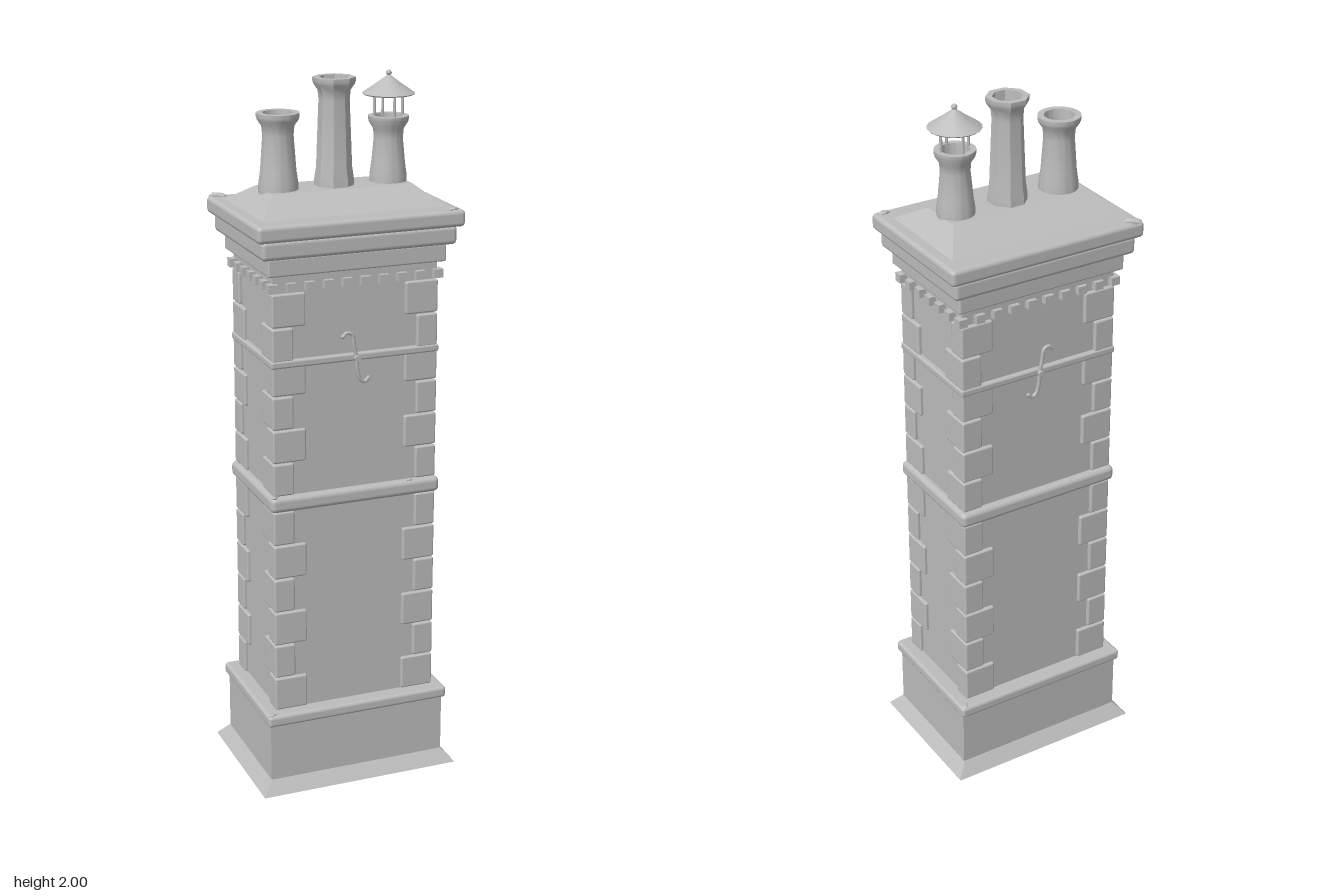
import * as THREE from 'three';
import { toCreasedNormals } from 'three/addons/utils/BufferGeometryUtils.js';
import { RoundedBoxGeometry } from 'three/addons/geometries/RoundedBoxGeometry.js';

export function createModel() {
  const model = new THREE.Group();
  model.name = 'chimneyStack';
  const stone = new THREE.MeshStandardMaterial({ color: 0xbcbcbc });
  stone.name = 'grey stone';

  const add = (name, geometry, x = 0, y = 0, z = 0, parent = model) => {
    const mesh = new THREE.Mesh(geometry, stone);
    mesh.name = name;
    mesh.position.set(x, y, z);
    parent.add(mesh);
    return mesh;
  };
  const group = (name) => {
    const g = new THREE.Group();
    g.name = name;
    model.add(g);
    return g;
  };
  // Centred course of masonry given by half sizes and its height range
  const course = (name, hx, hz, y0, y1, radius = 0) => {
    const size = [hx * 2, y1 - y0, hz * 2];
    const geometry = radius ? new RoundedBoxGeometry(...size, 3, radius) : new THREE.BoxGeometry(...size);
    return add(name, geometry, 0, (y0 + y1) / 2, 0);
  };
  // Course whose top is smaller than its foot
  const taperedCourse = (name, hx, hz, tx, tz, y0, y1) => {
    const geometry = new THREE.BoxGeometry(hx * 2, y1 - y0, hz * 2);
    const p = geometry.attributes.position;
    for (let i = 0; i < p.count; i++) {
      if (p.getY(i) > 0) p.setXYZ(i, Math.sign(p.getX(i)) * tx, p.getY(i), Math.sign(p.getZ(i)) * tz);
    }
    geometry.computeVertexNormals();
    return add(name, geometry, 0, (y0 + y1) / 2, 0);
  };

  // Foot, plinth and shaft
  taperedCourse('footFlare', 0.295, 0.215, 0.263, 0.185, 0, 0.037);
  course('plinth', 0.263, 0.183, 0.03, 0.215);
  course('plinthMoulding', 0.273, 0.197, 0.206, 0.24, 0.01);
  course('shaft', 0.23, 0.152, 0.23, 1.5);
  course('middleBand', 0.25, 0.174, 0.84, 0.884, 0.014);
  course('ironStrap', 0.244, 0.166, 1.249, 1.27, 0.006);

  // Quoins: long and short faces alternate up each corner
  const quoins = group('quoins');
  const stackQuoins = (y0, y1, count, firstWide) => {
    const h = (y1 - y0) / count;
    for (let i = 0; i < count; i++) {
      const wide = (i % 2 === 0) === firstWide;
      const w = wide ? 0.095 : 0.06;
      const d = wide ? 0.056 : 0.092;
      const block = new RoundedBoxGeometry(w, h - 0.004, d, 2, 0.005);
      for (const sx of [-1, 1]) {
        for (const sz of [-1, 1]) {
          add('quoin', block, sx * (0.24 - w / 2), y0 + (i + 0.5) * h, sz * (0.163 - d / 2), quoins);
        }
      }
    }
  };
  stackQuoins(0.24, 0.84, 6, true);
  stackQuoins(0.884, 1.455, 6, false);

  // Dentil row on all four sides
  const dentils = group('dentils');
  const dentil = new THREE.BoxGeometry(0.026, 0.024, 0.026);
  for (const s of [-1, 1]) {
    for (let i = 0; i < 10; i++) add('dentil', dentil, -0.238 + i * 0.0529, 1.47, s * 0.157, dentils);
    for (let i = 1; i < 6; i++) add('dentil', dentil, s * 0.238, 1.47, -0.157 + i * 0.0523, dentils);
  }

  // Stepped cornice and sloped capping
  course('corniceFillet', 0.236, 0.16, 1.483, 1.51);
  course('lowerCornice', 0.255, 0.18, 1.505, 1.554, 0.005);
  course('middleCornice', 0.278, 0.2, 1.554, 1.606, 0.012);
  course('corniceSlab', 0.295, 0.215, 1.604, 1.65, 0.012);
  taperedCourse('slopedCapping', 0.263, 0.161, 0.203, 0.066, 1.647, 1.7);

  // Wall anchors, curled at both ends
  const anchorCurve = new THREE.CatmullRomCurve3([
    [-0.04, 0.062], [-0.028, 0.072], [-0.013, 0.066], [-0.007, 0.035], [0, 0],
    [0.003, -0.035], [0.01, -0.06], [0.024, -0.07], [0.036, -0.06],
  ].map(([x, y]) => new THREE.Vector3(x, y, 0)));
  const anchorGeometry = new THREE.TubeGeometry(anchorCurve, 32, 0.0055, 6);
  for (const s of [-1, 1]) {
    const anchor = group(s > 0 ? 'frontAnchor' : 'backAnchor');
    anchor.position.set(0, 1.258, s * 0.165);
    add('anchorBar', anchorGeometry, 0, 0, 0, anchor);
    for (const p of [anchorCurve.points[0], anchorCurve.points[8]]) {
      add('anchorTip', new THREE.SphereGeometry(0.0055, 8, 6), p.x, p.y, 0, anchor);
    }
    const pin = add('anchorPin', new THREE.CylinderGeometry(0.008, 0.008, 0.024, 10), 0, 0, 0, anchor);
    pin.rotation.x = Math.PI / 2;
  }

  // Hollow pots, turned from one profile
  const pot = (name, x, top, sides, rim) => {
    const profile = [
      [rim * 0.93, 1.69], [rim * 0.93, 1.715], [rim * 0.84, 1.75], [rim * 0.72, top - 0.06],
      [rim * 0.76, top - 0.035], [rim * 0.96, top - 0.018], [rim, top - 0.01], [rim, top],
      [rim * 0.7, top], [rim * 0.66, top - 0.03], [rim * 0.66, 1.73], [0, 1.73],
    ].map(([r, y]) => new THREE.Vector2(r, y));
    const geometry = new THREE.LatheGeometry(profile, sides, Math.PI / sides);
    return add(name, toCreasedNormals(geometry, 0.6), x);
  };
  pot('rightPot', -0.16, 1.905, 32, 0.058);
  pot('middlePot', 0, 1.99, 8, 0.058);
  pot('leftPot', 0.158, 1.878, 32, 0.055);

  // Rain hood on four thin stays
  const hood = group('rainHood');
  hood.position.x = 0.158;
  const hoodProfile = [[0, 1.978], [0.069, 1.935], [0.072, 1.938], [0.035, 1.963], [0, 1.989]]
    .map(([r, y]) => new THREE.Vector2(r, y));
  add('hoodCone', toCreasedNormals(new THREE.LatheGeometry(hoodProfile, 20), 0.5), 0, 0, 0, hood);
  add('finial', new THREE.SphereGeometry(0.008, 12, 8), 0, 1.992, 0, hood);
  const stay = new THREE.CylinderGeometry(0.004, 0.004, 0.1, 8);
  for (let i = 0; i < 4; i++) {
    const a = (i * Math.PI) / 2;
    add('hoodStay', stay, 0.041 * Math.cos(a), 1.905, 0.041 * Math.sin(a), hood);
  }

  // Loose stone chips lying on the ledges
  const chips = group('stoneChips');
  const chipGeometry = new THREE.IcosahedronGeometry(1, 0);
  const chipPlaces = [
    [-0.266, 1.651, -0.197, 0.028, -0.7], [0.265, 1.651, 0.195, 0.018, 0.2],
    [-0.238, 0.884, 0.162, 0.013, 0.5], [0.16, 0.884, 0.163, 0.012, 0.1],
    [-0.258, 0.24, 0.182, 0.015, 0.4], [0.256, 0.24, -0.182, 0.014, 0.9],
  ];
  for (const [x, y, z, size, turn] of chipPlaces) {
    const chip = add('stoneChip', chipGeometry, x, y, z, chips);
    chip.scale.set(size, size * 0.35, size * 0.65);
    chip.rotation.y = turn;
  }

  return model;
}
